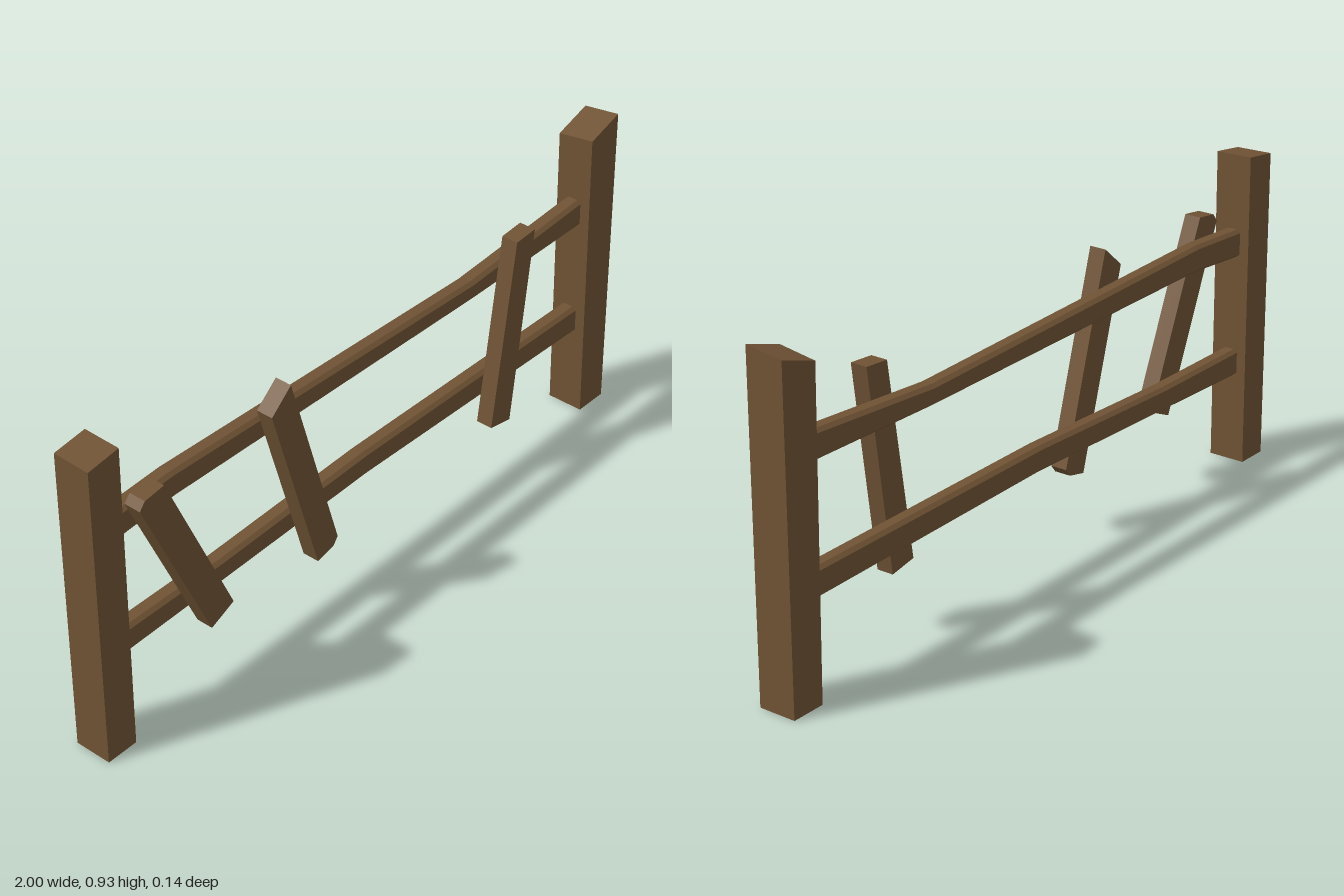
import * as THREE from 'three';

const wood = new THREE.MeshStandardMaterial({ color: 0x705335, flatShading: true, side: THREE.DoubleSide });
wood.name = 'brown wood';

// Skin a list of rings (counter-clockwise seen from the far end) and cap the last one.
function loft(rings) {
  const n = rings[0].length, index = [];
  for (let r = 0; r < rings.length - 1; r++) {
    for (let i = 0; i < n; i++) {
      const a = r * n + i, b = r * n + (i + 1) % n;
      index.push(a, b, b + n, a, b + n, a + n);
    }
  }
  const last = (rings.length - 1) * n;
  for (let i = 1; i < n - 1; i++) index.push(last, last + i, last + i + 1);
  const geo = new THREE.BufferGeometry();
  geo.setAttribute('position', new THREE.Float32BufferAttribute(rings.flat(2), 3));
  geo.setIndex(index);
  const flat = geo.toNonIndexed();
  flat.computeVertexNormals();
  return flat;
}

// Square post with a roughly sawn top; heights run outer... around the four corners.
function postGeometry(x0, x1, topX0, topX1, heights) {
  const front = 0.04, back = -0.068;
  const ring = (a, b, h) => [[b, h[0], front], [b, h[1], back], [a, h[2], back], [a, h[3], front]];
  return loft([ring(x0, x1, [0, 0, 0, 0]), ring(topX0, topX1, heights)]);
}

// Chamfered rail through stations of [x, centre height, half height].
function railGeometry(stations) {
  const d = 0.025, bevel = 0.011, zMid = -0.015;
  return loft(stations.map(([x, y, h]) => {
    const e = h - 0.009, f = d - bevel;
    return [[h, -f], [h, f], [e, d], [-e, d], [-h, f], [-h, -f], [-e, -d], [e, -d]]
      .map(([dy, dz]) => [x, y + dy, zMid + dz]);
  }));
}

// Loose plank cut from an outline; its top may lean forward.
function plankGeometry(points, lean) {
  const shape = new THREE.Shape(points.map(([x, y]) => new THREE.Vector2(x, y)));
  const geo = new THREE.ExtrudeGeometry(shape, { depth: 0.049, bevelEnabled: false });
  geo.translate(0, 0, 0.012);
  const p = geo.attributes.position;
  for (let i = 0; i < p.count; i++) {
    if (p.getY(i) > 0.7) p.setZ(i, p.getZ(i) + lean);
  }
  geo.computeVertexNormals();
  return geo;
}

export function createModel() {
  const fence = new THREE.Group();
  fence.name = 'brokenFence';
  const add = (name, geometry) => {
    const mesh = new THREE.Mesh(geometry, wood);
    mesh.name = name;
    fence.add(mesh);
  };

  // Posts
  add('rightPost', postGeometry(-1, -0.905, -1, -0.9, [0.903, 0.905, 0.893, 0.89]));
  add('leftPost', postGeometry(0.9, 1, 0.888, 1, [0.925, 0.91, 0.875, 0.89]));

  // Rails
  add('upperRail', railGeometry([
    [-0.91, 0.65, 0.04], [-0.7, 0.662, 0.038], [0.43, 0.633, 0.028], [0.91, 0.65, 0.041],
  ]));
  add('lowerRail', railGeometry([
    [-0.91, 0.297, 0.039], [-0.55, 0.3, 0.034], [0, 0.315, 0.036], [0.91, 0.298, 0.041],
  ]));

  // Crooked planks on the front
  add('rightPlank', plankGeometry(
    [[-0.645, 0.21], [-0.565, 0.245], [-0.79, 0.745], [-0.855, 0.737], [-0.873, 0.715]], 0.007));
  add('middlePlank', plankGeometry(
    [[-0.25, 0.175], [-0.19, 0.188], [-0.173, 0.21], [-0.34, 0.78], [-0.41, 0.72]], 0));
  add('leftPlank', plankGeometry(
    [[0.46, 0.195], [0.54, 0.18], [0.62, 0.755], [0.545, 0.75]], 0));

  return fence;
}
